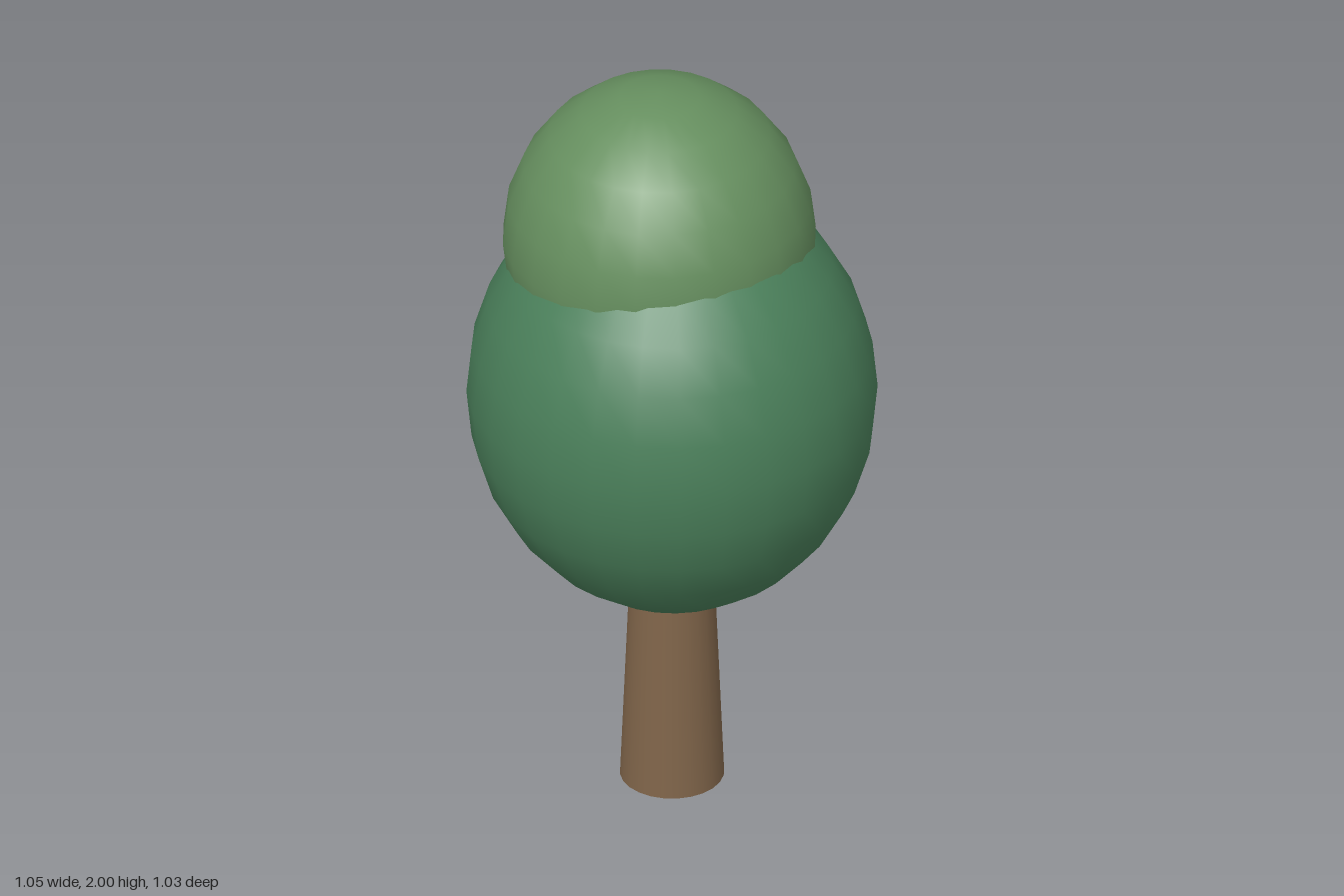
import * as THREE from 'three';

function makePart(name, geometry, color, position) {
  const mesh = new THREE.Mesh(geometry, new THREE.MeshStandardMaterial({ color }));
  mesh.name = name;
  mesh.position.set(...position);
  return mesh;
}

// Ellipsoid clump of leaves
function foliage(name, radii, segments, color, position) {
  const geometry = new THREE.SphereGeometry(1, segments, segments / 2).scale(...radii);
  return makePart(name, geometry, color, position);
}

export function createModel() {
  const tree = new THREE.Group();
  tree.name = 'tree';

  // Tapered trunk, its top buried in the leaves
  const trunkHeight = 0.8;
  tree.add(makePart('trunk', new THREE.CylinderGeometry(0.1, 0.133, trunkHeight, 24), 0x80654a, [0, trunkHeight / 2, 0]));

  // Large lower crown and the smaller off-centre crown on top
  tree.add(foliage('lowerCrown', [0.525, 0.595, 0.513], 28, 0x4a7f5a, [0, 1.15, 0]));
  tree.add(foliage('upperCrown', [0.4, 0.43, 0.4], 24, 0x668f5f, [-0.055, 1.57, -0.045]));

  return tree;
}
